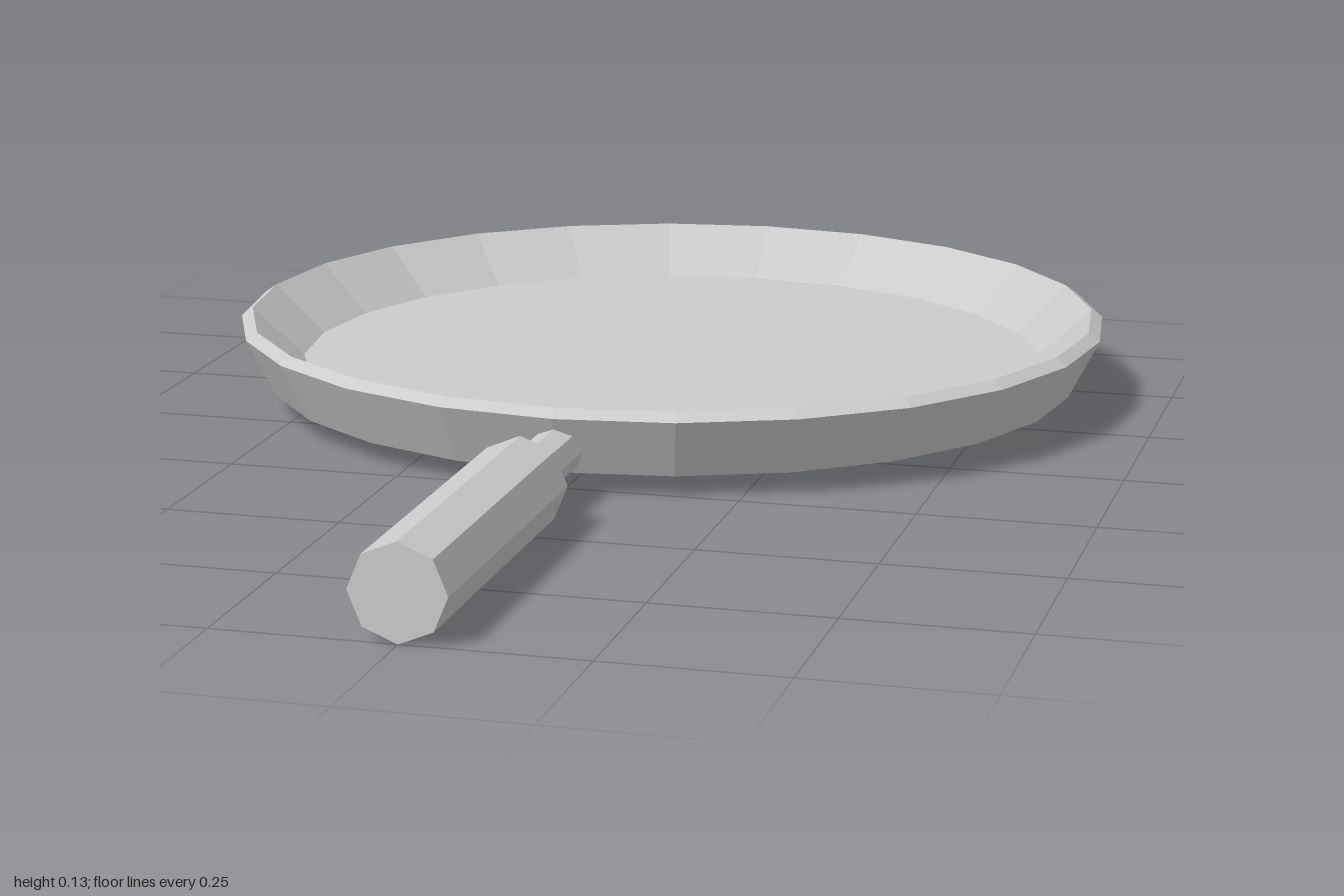
import * as THREE from 'three';

const material = new THREE.MeshStandardMaterial({ color: 0xcccccc, flatShading: true });
const HANDLE_Y = 0.066;

// Eight-sided bar lying along z, with a ridge on top
function bar(name, radius, zStart, zEnd) {
  const geometry = new THREE.CylinderGeometry(radius, radius, zEnd - zStart, 8);
  geometry.rotateX(Math.PI / 2);
  const mesh = new THREE.Mesh(geometry, material);
  mesh.name = name;
  mesh.position.set(0, HANDLE_Y, (zStart + zEnd) / 2);
  return mesh;
}

export function createModel() {
  const model = new THREE.Group();
  model.name = 'fryingPan';

  // Pan: underside, flared wall, bevelled rim, inner wall, cooking floor
  const profile = [
    [0, 0.03], [0.615, 0.03], [0.66, 0.118], [0.643, 0.13], [0.565, 0.057], [0, 0.057],
  ].map(([r, y]) => new THREE.Vector2(r, y));
  const pan = new THREE.Mesh(new THREE.LatheGeometry(profile, 24), material);
  pan.name = 'pan';
  pan.position.z = -0.34;
  model.add(pan);

  // Handle: thin rod from the pan wall into a thicker grip
  const handle = new THREE.Group();
  handle.name = 'handle';
  handle.add(bar('rod', 0.035, 0.28, 0.48), bar('grip', 0.066, 0.47, 1));
  model.add(handle);

  return model;
}
